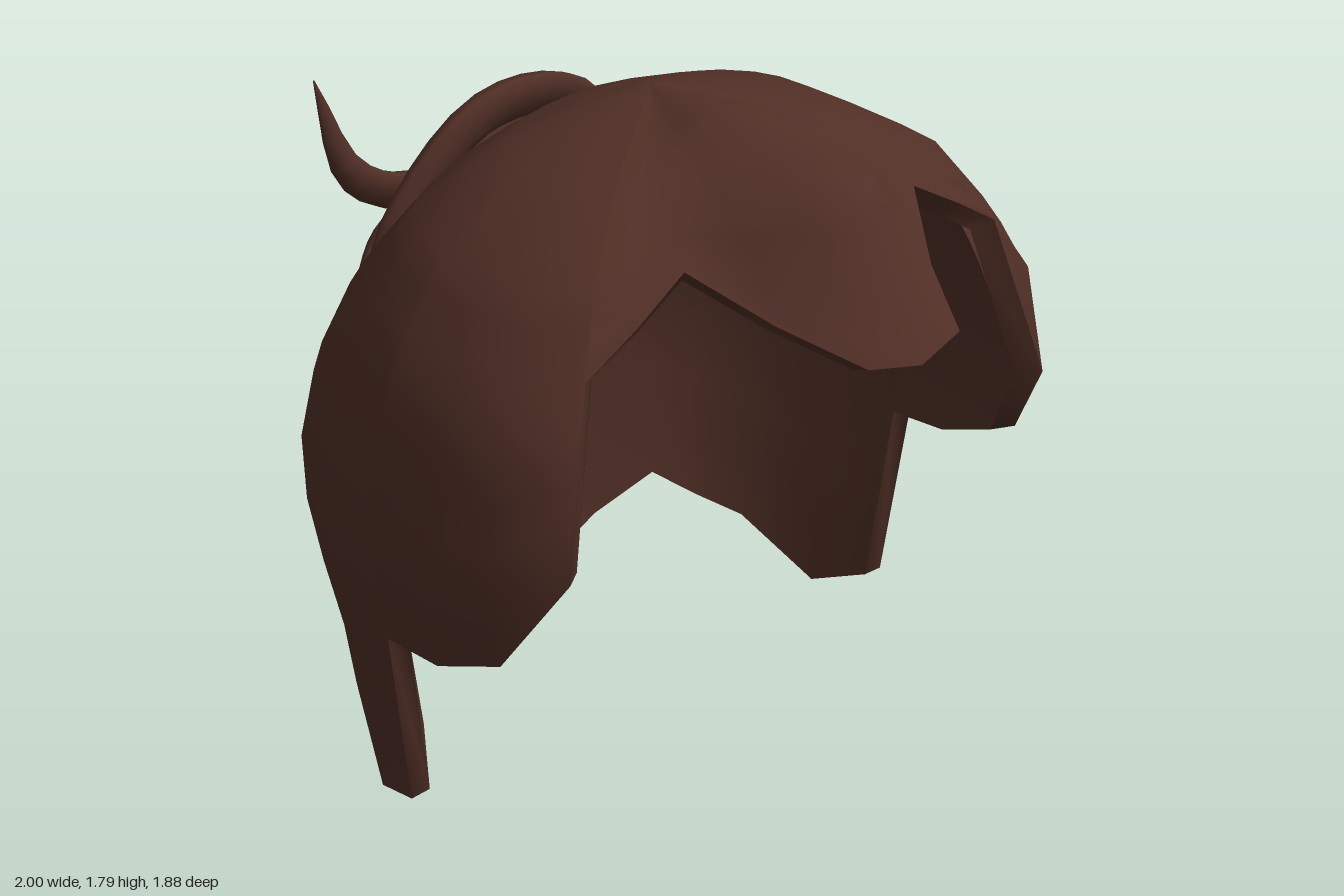
import * as THREE from 'three';
import { mergeVertices } from 'three/addons/utils/BufferGeometryUtils.js';

const TOP = 1.79;
const ROWS = [5, 3, 6]; // crown to hole, hole band, hole to hem
const ROW_COUNT = ROWS[0] + ROWS[1] + ROWS[2];

// Piecewise-linear lookup in [key, value] pairs with falling keys
function lookup(table, key) {
  for (let i = 1; i < table.length; i++) {
    const [k0, v0] = table[i - 1], [k1, v1] = table[i];
    if (key >= k1) return v0 + (v1 - v0) * Math.min(1, Math.max(0, (k0 - key) / (k0 - k1)));
  }
  return table[table.length - 1][1];
}

// Half width and back depth of the cap at each height
const WIDTH = [[1.79, 0], [1.72, 0.41], [1.56, 0.71], [1.38, 0.85], [1.24, 0.94], [0.9, 1], [0.78, 0.99],
  [0.6, 0.96], [0.34, 0.9], [0, 0.88]];
const BACK = [[1.79, 0], [1.74, 0.18], [1.69, 0.29], [1.56, 0.47], [1.37, 0.66], [1.17, 0.83], [0.95, 0.915],
  [0.78, 0.945], [0.45, 0.88], [0.12, 0.77], [0, 0.74]];

// Fringe columns: points from crown to tip
const fringe = [
  { points: [[0, 1.79, 0], [0, 1.79, 0.28], [0, 1.72, 0.73], [0, 1.33, 0.94]] },
  { points: [[0, 1.79, 0], [0.06, 1.785, 0.28], [0.12, 1.69, 0.66], [0.16, 1.36, 0.915]] },
  { points: [[0, 1.79, 0], [0.14, 1.76, 0.28], [0.24, 1.65, 0.56], [0.27, 1.44, 0.72]] },
];
// Cap columns: plan x, plan z, hem height, upper and lower heights of the hole band
const cap = [
  [0.56, 0.76, 1.56, 1.7, 1.62], [0.72, 0.71, 1.47, 1.65, 1.55], [0.84, 0.64, 1.38, 1.62, 1.5],
  [0.85, 0.635, 0.93, 1.55, 1.3], [0.96, 0.49, 0.68, 1.55, 1.3], [1, 0.28, 0.6, 1.55, 1.3],
  [1, 0.075, 0.59, 1.55, 1.3], [1, 0.05, 0.07, 1.55, 1.3], [0.95, -0.18, 0, 1.55, 1.3],
  [0.83, -0.44, 0.17, 1.55, 1.3], [0.72, -0.56, 0.23, 1.55, 1.3], [0.61, -0.66, 0.3, 1.55, 1.3],
  [0.42, -0.79, 0.19, 1.55, 1.3], [0.33, -0.85, 0.12, 1.55, 1.22], [0.12, -0.915, 0.12, 1.56, 1.08],
  [0, -0.945, 0.12, 1.56, 1.08],
].map(([x, z, hem, upper, lower]) => ({ x, z, hem, upper, lower, hole: z < 0 && x < 0.43 }));

// Point of a column at one row
function columnPoint(col, row) {
  let seg = 0, k = row;
  while (seg < 2 && k > ROWS[seg]) k -= ROWS[seg++];
  const t = k / ROWS[seg];
  if (col.points) {
    return new THREE.Vector3(...col.points[seg]).lerp(new THREE.Vector3(...col.points[seg + 1]), t);
  }
  const stops = [TOP, col.upper, col.lower, col.hem];
  const y = stops[seg] + (stops[seg + 1] - stops[seg]) * (seg === 0 ? t * t : t);
  const width = lookup(WIDTH, y);
  const depth = col.z < 0 ? lookup(BACK, y) / 0.945 : width;
  return new THREE.Vector3(col.x * width, y, col.z * depth);
}

const inward = (p) => new THREE.Vector3(p.x * 0.93, p.y - 0.07 * (p.y / TOP) ** 4, p.z * 0.93);

function geometryFromQuads(quads) {
  const pos = [];
  for (const [a, b, c, d] of quads) {
    for (const p of [a, b, c, a, c, d]) pos.push(p.x, p.y, p.z);
  }
  const geo = new THREE.BufferGeometry();
  geo.setAttribute('position', new THREE.Float32BufferAttribute(pos, 3));
  const merged = mergeVertices(geo, 1e-4);
  merged.computeVertexNormals();
  return merged;
}

// Hollow cap with a hole at the upper back
function buildShell() {
  const half = [...fringe, ...cap];
  const outer = half.map((col) => Array.from({ length: ROW_COUNT + 1 }, (_, r) => columnPoint(col, r)));
  const holes = half.map((col) => !!col.hole);
  for (let i = half.length - 2; i > 0; i--) {
    outer.push(outer[i].map((p) => new THREE.Vector3(-p.x, p.y, p.z)));
    holes.push(holes[i]);
  }
  const n = outer.length;
  const inner = outer.map((col) => col.map(inward));
  const filled = (i, j) => {
    i = (i + n) % n;
    if (j < 0) return true;
    if (j >= ROW_COUNT) return false;
    const inBand = j >= ROWS[0] && j < ROWS[0] + ROWS[1];
    return !(inBand && holes[i] && holes[(i + 1) % n]);
  };
  const outside = [], inside = [], rim = [];
  for (let i = 0; i < n; i++) {
    const m = (i + 1) % n;
    for (let j = 0; j < ROW_COUNT; j++) {
      if (!filled(i, j)) continue;
      const corners = [[i, j], [i, j + 1], [m, j + 1], [m, j]];
      const neighbours = [[i - 1, j], [i, j + 1], [i + 1, j], [i, j - 1]];
      outside.push(corners.map(([a, b]) => outer[a][b]));
      inside.push(corners.map(([a, b]) => inner[a][b]).reverse());
      neighbours.forEach(([a, b], e) => {
        if (filled(a, b)) return;
        const [p, q] = [corners[e], corners[(e + 1) % 4]];
        rim.push([outer[q[0]][q[1]], outer[p[0]][p[1]], inner[p[0]][p[1]], inner[q[0]][q[1]]]);
      });
    }
  }
  return { outside, inside, rim };
}

// Tapered lock of hair with a flattened section
function buildLock(points, height, depth) {
  const curve = new THREE.CatmullRomCurve3(points.map((p) => new THREE.Vector3(...p)));
  const steps = 18, sides = 8, rings = [];
  const out = new THREE.Vector3(0, 0.5, -0.85);
  for (let i = 0; i <= steps; i++) {
    const t = i / steps, c = curve.getPoint(t), tangent = curve.getTangent(t);
    const up = new THREE.Vector3().crossVectors(tangent, out).normalize();
    const normal = new THREE.Vector3().crossVectors(up, tangent).normalize();
    const size = Math.max(0.03, Math.sin(Math.PI * t) ** 0.8);
    rings.push(Array.from({ length: sides }, (_, s) => {
      const a = (s / sides) * Math.PI * 2;
      return c.clone().addScaledVector(up, Math.cos(a) * height * size)
        .addScaledVector(normal, Math.sin(a) * depth * size);
    }));
  }
  const quads = [];
  for (let i = 0; i < steps; i++) {
    for (let s = 0; s < sides; s++) {
      const u = (s + 1) % sides;
      quads.push([rings[i][s], rings[i][u], rings[i + 1][u], rings[i + 1][s]]);
    }
  }
  return geometryFromQuads(quads);
}

export function createModel() {
  const group = new THREE.Group();
  group.name = 'hair';
  const brown = new THREE.MeshStandardMaterial({ color: 0x502f26, side: THREE.DoubleSide });
  brown.name = 'dark brown';
  const add = (name, geometry) => {
    const mesh = new THREE.Mesh(geometry, brown);
    mesh.name = name;
    group.add(mesh);
  };

  const shell = buildShell();
  add('hairOutside', geometryFromQuads(shell.outside));
  add('hairInside', geometryFromQuads(shell.inside));
  add('hairRim', geometryFromQuads(shell.rim));

  // Three locks across the hole
  add('upperLock', buildLock([[0.39, 1.42, -0.54], [0.2, 1.57, -0.55], [-0.1, 1.58, -0.55],
    [-0.38, 1.36, -0.56], [-0.51, 1.14, -0.57]], 0.08, 0.045));
  add('middleLock', buildLock([[0.36, 1.45, -0.58], [0.2, 1.5, -0.63], [0, 1.44, -0.65],
    [-0.25, 1.37, -0.68], [-0.43, 1.46, -0.69], [-0.53, 1.74, -0.7]], 0.07, 0.04));
  add('lowerLock', buildLock([[0.46, 1.22, -0.66], [0.28, 1.32, -0.75], [0, 1.29, -0.8],
    [-0.25, 1.22, -0.78], [-0.44, 1.16, -0.68]], 0.09, 0.045));
  return group;
}
